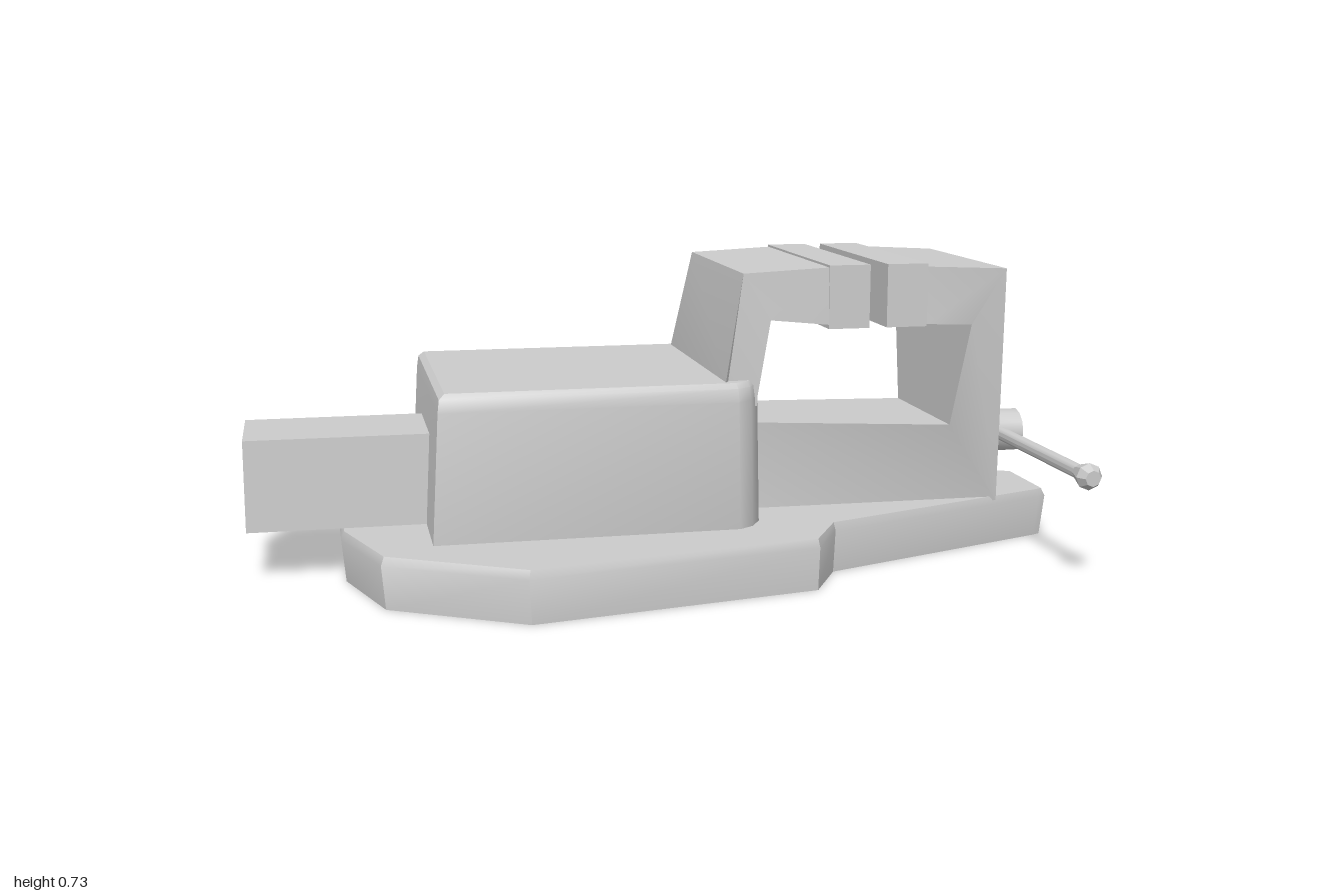
import * as THREE from 'three';
import { toCreasedNormals } from 'three/addons/utils/BufferGeometryUtils.js';

const metal = new THREE.MeshStandardMaterial({ color: 0xcccccc });

// Closed solid from stacked rings of [x, y, z], counter-clockwise in xy and rising in z
function solid(rings) {
  const n = rings[0].length;
  const pos = rings.flat(2);
  const index = [];
  for (let r = 0; r < rings.length - 1; r++) {
    for (let i = 0; i < n; i++) {
      const a = r * n + i, b = r * n + (i + 1) % n;
      index.push(a, b, b + n, a, b + n, a + n);
    }
  }
  const flat = rings[0].map(([x, y]) => new THREE.Vector2(x, y));
  const top = (rings.length - 1) * n;
  for (const [a, b, c] of THREE.ShapeUtils.triangulateShape(flat, [])) {
    index.push(a, c, b, top + a, top + b, top + c);
  }
  const geo = new THREE.BufferGeometry();
  geo.setAttribute('position', new THREE.Float32BufferAttribute(pos, 3));
  geo.setIndex(index);
  return toCreasedNormals(geo, 0.6);
}

// Side profile of [x, y, halfWidth], mirrored across z = 0
const profile = (pts) => solid([-1, 1].map((s) => pts.map(([x, y, h]) => [x, y, s * h])));

// Half outline of [x, z] mirrored in z, lofted through levels of [y, scaleX, scaleZ]
function loftUp(half, levels) {
  const outline = [
    ...half.map(([x, z]) => [x, -z]),
    ...half.slice().reverse(),
  ];
  return solid(levels.map(([y, sx, sz]) => outline.map(([x, v]) => [x * sx, v * sz, y])))
    .rotateX(-Math.PI / 2);
}

export function createModel() {
  const group = new THREE.Group();
  const add = (name, geo, x = 0, y = 0, z = 0) => {
    const mesh = new THREE.Mesh(geo, metal);
    mesh.name = name;
    mesh.position.set(x, y, z);
    group.add(mesh);
    return mesh;
  };

  // Bench plate
  add('base', loftUp(
    [[-0.785, 0.17], [-0.705, 0.41], [-0.4, 0.583], [0.285, 0.463], [0.365, 0.327], [0.98, 0.11], [1, 0.1]],
    [[0, 0.988, 1], [0.1, 1, 1], [0.12, 0.99, 0.985]],
  ));

  // Fixed body with softened upper edges
  add('fixedBody', loftUp(
    [[-0.585, 0.34], [0.13, 0.338], [0.165, 0.315], [0.192, 0.27]],
    [[0.11, 1, 1], [0.42, 0.97, 0.975], [0.45, 0.963, 0.955], [0.462, 0.94, 0.92]],
  ));

  // Overhanging arm of the fixed jaw
  add('fixedJaw', profile([
    [0.1, 0.4, 0.29], [0.182, 0.4, 0.28], [0.182, 0.42, 0.28], [0.215, 0.6, 0.272],
    [0.36, 0.585, 0.27], [0.36, 0.72, 0.265], [0.15, 0.71, 0.265], [0.1, 0.455, 0.3],
  ]));

  // Moving jaw, narrowing towards its foot, with its neck entering the body
  add('movingJaw', profile([
    [0.84, 0.11, 0.16], [0.805, 0.707, 0.255], [0.6, 0.717, 0.268], [0.6, 0.58, 0.27],
    [0.715, 0.575, 0.268], [0.7, 0.315, 0.185], [0.15, 0.335, 0.14], [0.15, 0.11, 0.15],
  ]));

  // Slide bar leaving the back of the body
  add('slideBar', profile([
    [-1, 0.12, 0.14], [0.2, 0.12, 0.14], [0.2, 0.335, 0.128], [-1, 0.335, 0.128],
  ]));

  // Gripping plates
  for (const [name, x] of [['fixedJawPlate', 0.407], ['movingJawPlate', 0.55]]) {
    add(name, new THREE.BoxGeometry(0.1, 0.15, 0.54), x, 0.65, 0);
  }

  // Screw end and its head
  const rod = (r, length, sides) =>
    toCreasedNormals(new THREE.CylinderGeometry(r, r, length, sides), 0.7);
  add('screw', rod(0.022, 0.1, 10).rotateZ(Math.PI / 2), 0.83, 0.257, 0);
  add('screwHead', rod(0.055, 0.11, 12).rotateZ(Math.PI / 2), 0.9, 0.257, 0);

  // Sliding handle with a tapered knob at each end
  add('handle', rod(0.017, 1.03, 12).rotateX(Math.PI / 2), 0.897, 0.257, 0);
  const knobProfile = [[0, 0.5], [0.018, 0.5], [0.032, 0.55], [0.019, 0.572], [0, 0.572]]
    .map(([r, d]) => new THREE.Vector2(r, d));
  for (const s of [-1, 1]) {
    const knob = toCreasedNormals(new THREE.LatheGeometry(knobProfile, 8), 0.4);
    add('handleKnob', knob.rotateX(s * Math.PI / 2), 0.897, 0.257, 0);
  }

  return group;
}
